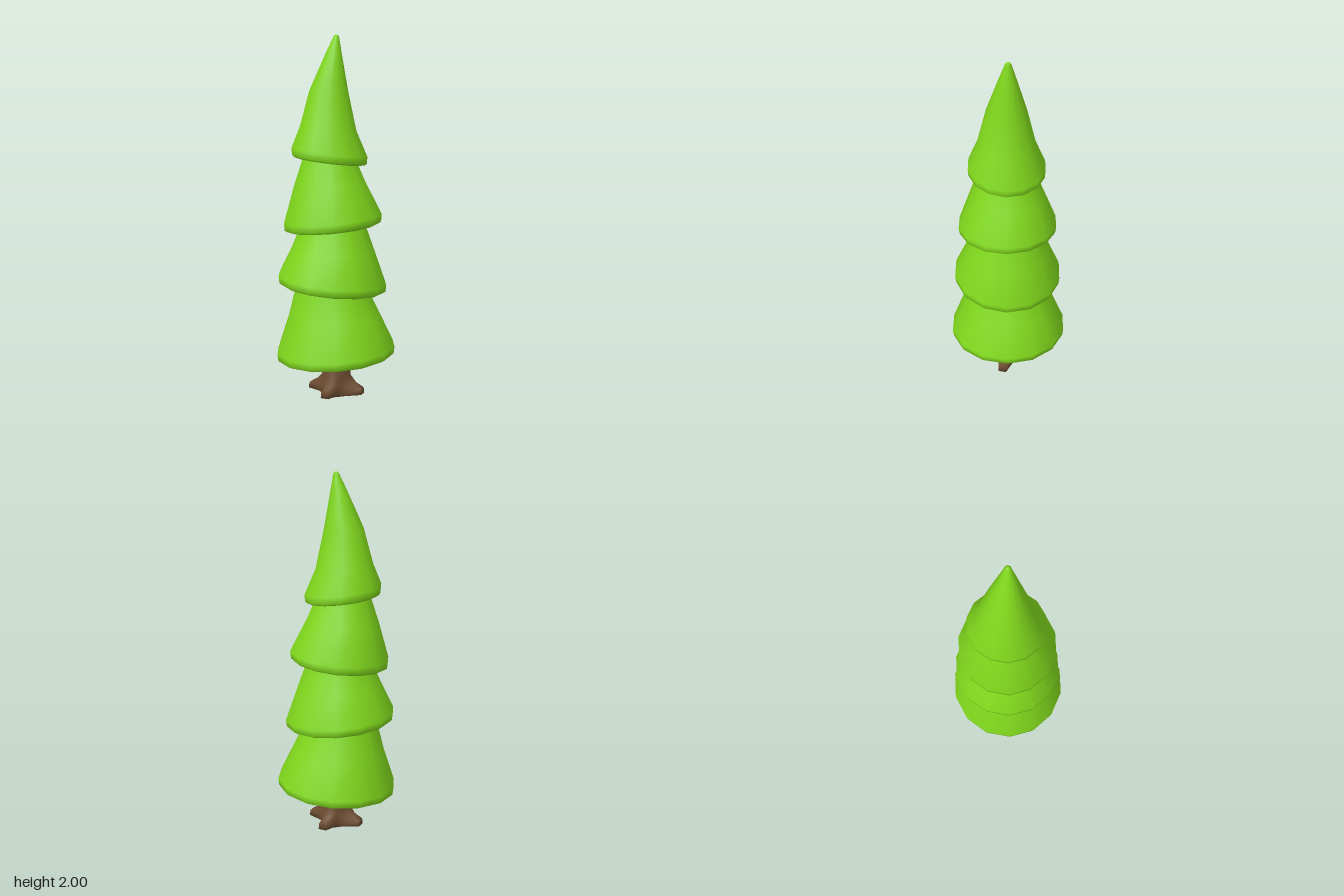
import * as THREE from 'three';

const SIDES = 14;

// Skin a stack of cross-section loops, bottom to top, closed at both ends by a centre point
function loft(loops) {
  const n = loops[0].length, pos = [], index = [];
  for (const loop of loops) for (const p of loop) pos.push(p.x, p.y, p.z);
  for (let i = 0; i < loops.length - 1; i++)
    for (let j = 0; j < n; j++) {
      const a = i * n + j, b = i * n + (j + 1) % n;
      index.push(a, b, b + n, a, b + n, a + n);
    }
  const centre = loop => loop.reduce((s, p) => s.add(p), new THREE.Vector3()).divideScalar(n);
  const bottom = centre(loops[0]), top = centre(loops[loops.length - 1]);
  const ib = pos.length / 3, last = (loops.length - 1) * n;
  pos.push(...bottom.toArray(), ...top.toArray());
  for (let j = 0; j < n; j++) {
    const k = (j + 1) % n;
    index.push(ib, k, j, ib + 1, last + j, last + k);
  }
  const geo = new THREE.BufferGeometry();
  geo.setAttribute('position', new THREE.Float32BufferAttribute(pos, 3));
  geo.setIndex(index);
  geo.computeVertexNormals();
  return geo;
}

// Round loop at height y, centred on x = cx, leaning by slope along x
function ring([y, cx, r, slope]) {
  return Array.from({ length: SIDES }, (_, j) => {
    const a = j / SIDES * Math.PI * 2, dx = r * Math.sin(a);
    return new THREE.Vector3(cx + dx, y + slope * dx, r * Math.cos(a));
  });
}

// Foliage tiers: rim height, centre, radius and tilt, then the rings above it
const tiers = [
  { y: 0.27, cx: -0.003, r: 0.334, slope: 0.065,
    above: [[0.45, -0.012, 0.262, 0.03], [0.6, -0.025, 0.208, -0.03], [0.66, -0.025, 0.195, -0.06]] },
  { y: 0.665, cx: -0.022, r: 0.304, slope: -0.085,
    above: [[0.83, -0.018, 0.235, -0.03], [0.96, -0.02, 0.185, 0.04], [1.03, -0.02, 0.165, 0.08]] },
  { y: 1.008, cx: -0.02, r: 0.274, slope: 0.095,
    above: [[1.19, -0.035, 0.203, 0.04], [1.33, -0.037, 0.15, -0.05], [1.4, -0.037, 0.128, -0.1]] },
  { y: 1.372, cx: -0.038, r: 0.211, slope: -0.12,
    above: [[1.5, -0.045, 0.157, -0.08], [1.7, -0.041, 0.108, -0.04], [1.9, -0.015, 0.045, 0],
      [1.99, -0.001, 0.016, 0], [2.0, 0, 0.007, 0]] },
];

// Trunk loop with four roots; reach is the root radius, core the radius between roots
function trunkRing([y, core, reach, lift]) {
  const loop = [];
  for (let q = 0; q < 4; q++)
    for (const [deg, t] of [[-8, 1], [8, 1], [30, 0.12], [60, 0.12]]) {
      const a = THREE.MathUtils.degToRad(65 + q * 90 + deg), r = core + (reach - core) * t;
      loop.push(new THREE.Vector3(r * Math.sin(a), y + lift * t, r * Math.cos(a)));
    }
  return loop;
}

export function createModel() {
  const tree = new THREE.Group();
  tree.name = 'tree';
  const green = new THREE.MeshStandardMaterial({ color: 0x80d81c });
  const brown = new THREE.MeshStandardMaterial({ color: 0x6f4e33 });

  tiers.forEach(({ y, cx, r, slope, above }, i) => {
    const loops = [
      [y - 0.048, cx, r * 0.93, slope], // underside
      [y - 0.038, cx, r * 0.985, slope], // bevelled rim
      [y, cx, r, slope],
      ...above,
    ].map(ring);
    const mesh = new THREE.Mesh(loft(loops), green);
    mesh.name = `foliageTier${i + 1}`;
    tree.add(mesh);
  });

  // Trunk flaring into four roots
  const trunk = new THREE.Mesh(loft([
    [0, 0.07, 0.12, 0.012],
    [0.012, 0.076, 0.163, 0.005],
    [0.045, 0.078, 0.16, 0.004],
    [0.075, 0.078, 0.115, 0],
    [0.11, 0.078, 0.084, 0],
    [0.21, 0.073, 0.076, 0],
    [0.28, 0.07, 0.072, 0],
  ].map(trunkRing)), brown);
  trunk.name = 'trunk';
  tree.add(trunk);
  return tree;
}
